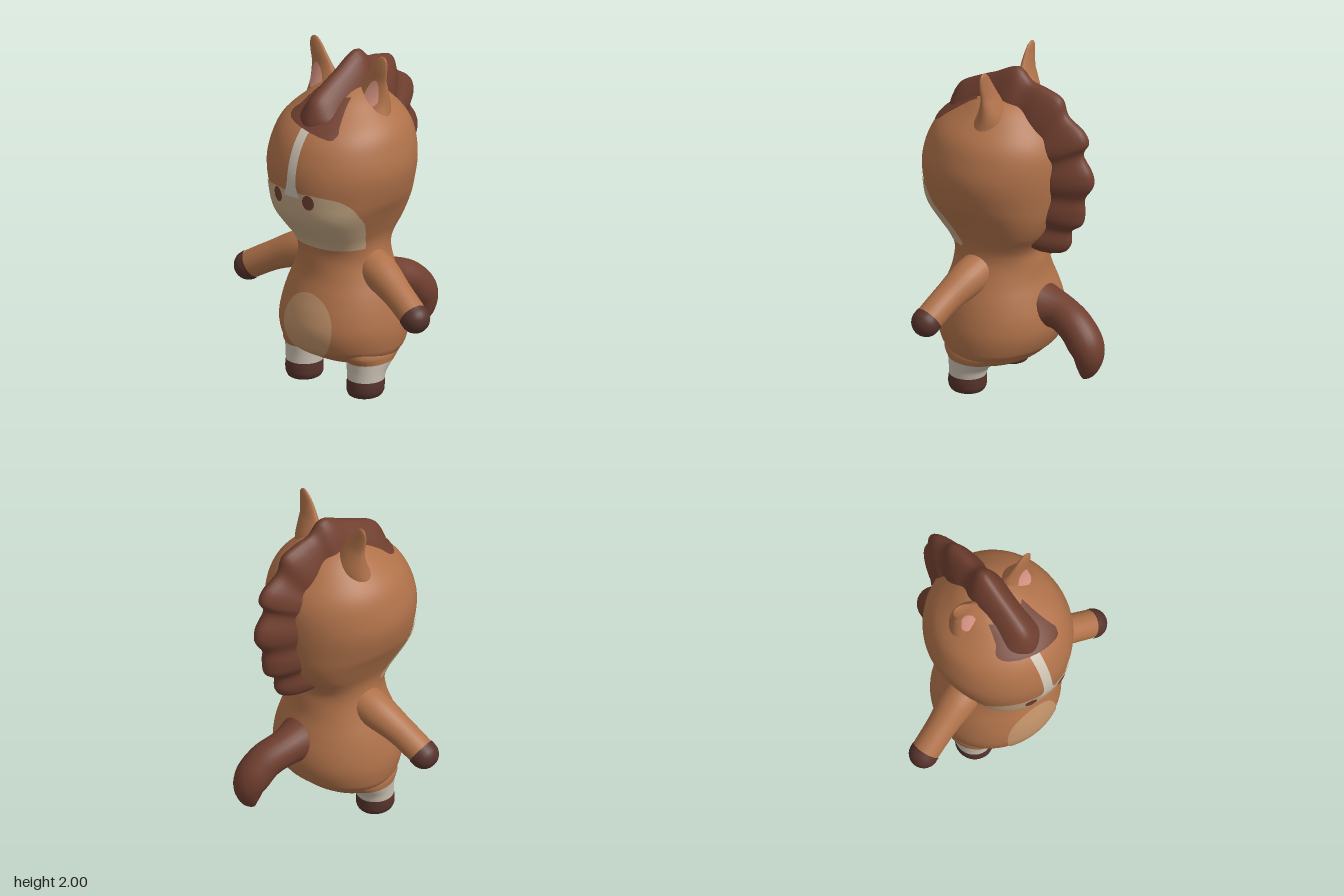
import * as THREE from 'three';

const paint = (name, color) => Object.assign(new THREE.MeshStandardMaterial({ color }), { name });

// Smooth interpolation of a table whose first column is the parameter
function at(rows, t) {
  let i = 0;
  while (i < rows.length - 2 && t > rows[i + 1][0]) i++;
  const a = rows[i], b = rows[i + 1], p = rows[Math.max(i - 1, 0)], q = rows[Math.min(i + 2, rows.length - 1)];
  const d = b[0] - a[0], s = THREE.MathUtils.clamp((t - a[0]) / d, 0, 1), s2 = s * s, s3 = s2 * s;
  return a.map((v, k) => {
    const m0 = (b[k] - p[k]) / (b[0] - p[0]) * d, m1 = (q[k] - a[k]) / (q[0] - a[0]) * d;
    return (2 * s3 - 3 * s2 + 1) * v + (s3 - 2 * s2 + s) * m0 + (3 * s2 - 2 * s3) * b[k] + (s3 - s2) * m1;
  });
}

// Surface grid: fn(u, v) gives a point; wrap closes it around u
function grid(fn, nu, nv, wrap) {
  const pos = [], idx = [], cols = wrap ? nu : nu + 1;
  for (let j = 0; j <= nv; j++) for (let i = 0; i < cols; i++) pos.push(...fn(i / nu, j / nv));
  for (let j = 0; j < nv; j++) for (let i = 0; i < nu; i++) {
    const a = j * cols + i, b = j * cols + (i + 1) % cols;
    idx.push(a, b, b + cols, a, b + cols, a + cols);
  }
  const g = new THREE.BufferGeometry();
  g.setAttribute('position', new THREE.Float32BufferAttribute(pos, 3));
  g.setIndex(idx);
  g.computeVertexNormals();
  return g;
}

// Upright loft; rows are [y, half width, front z, back z, squareness, centre x]
function loft(rows, side = 1, nu = 48, sub = 5) {
  const n = rows.length - 1;
  return grid((u, v) => {
    const f = Math.min(Math.floor(v * n + 1e-6), n - 1), s = v * n - f;
    const y = rows[f][0] + (rows[f + 1][0] - rows[f][0]) * s;
    const [, hx, zf, zb, e, xc] = at(rows, y);
    const a = u * Math.PI * 2, pw = c => Math.sign(c) * Math.abs(c) ** (2 / e);
    return [xc * side + Math.max(hx, 0) * pw(Math.sin(a)), y, (zf + zb) / 2 + (zf - zb) / 2 * pw(Math.cos(a))];
  }, nu, n * sub, true);
}

// Thin marking on the front of a loft; shape(y) gives [centre x, half width]
function marking(rows, shape, y0, y1, lift, side = 1) {
  return grid((u, v) => {
    const y = (y0 + y1) / 2 - (y1 - y0) / 2 * Math.cos(v * Math.PI);
    const [, hx, zf, zb, e, xc] = at(rows, y), [c, hw] = shape(y);
    const x = c + hw * Math.sin((u - 0.5) * Math.PI);
    const k = THREE.MathUtils.clamp((x - xc * side) / hx, -0.98, 0.98);
    const z = (zf - zb) / 2 * (1 - Math.abs(k) ** e) ** (1 / e);
    return [xc * side + k * hx * lift, y, (zf + zb) / 2 + z * lift];
  }, 32, 32, false);
}
const oval = (x, y, w, h) => t => [x, w * Math.sqrt(Math.max(0, 1 - ((t - y) / h) ** 2))];

// Tapered tube along a curve, radius given by a function of t
function limb(points, radius, nv = 30) {
  const c = new THREE.CatmullRomCurve3(points.map(p => new THREE.Vector3(...p)));
  const fr = c.computeFrenetFrames(nv);
  return grid((u, v) => {
    const j = Math.round(v * nv), a = u * Math.PI * 2, r = radius(v);
    return c.getPointAt(v).addScaledVector(fr.normals[j], r * Math.cos(a))
      .addScaledVector(fr.binormals[j], r * Math.sin(a)).toArray();
  }, 24, nv, true);
}

// Torso, neck and head in one smooth form
const BODY = [
  [.165, .001, .15, .14], [.175, .14, .25, .02], [.21, .295, .33, -.09], [.26, .345, .41, -.15],
  [.3, .362, .45, -.19], [.4, .372, .478, -.225], [.5, .358, .465, -.22], [.6, .33, .434, -.19],
  [.7, .29, .4, -.155], [.8, .255, .388, -.14], [.87, .245, .387, -.13, 2.3], [.93, .252, .41, -.15, 2.6],
  [1, .28, .466, -.2, 2.6], [1.1, .327, .54, -.245, 2.4], [1.2, .375, .568, -.27, 2.1], [1.36, .41, .577, -.285],
  [1.5, .387, .54, -.275], [1.6, .342, .472, -.23], [1.7, .24, .34, -.14], [1.76, .16, .25, -.06],
  [1.79, .08, .17, .02], [1.8, .001, .1, .09],
].map(([y, w, f, b, e = 2]) => [y, w, f, b, e, 0]);

const EAR = [
  [1.64, .12, .2, 0, 2, .17], [1.7, .11, .165, 0, 2, .17], [1.74, .1, .145, .01, 2, .175],
  [1.8, .085, .125, .035, 2, .185], [1.85, .07, .115, .055, 2, .197], [1.92, .055, .11, .07, 2, .222],
  [1.97, .038, .102, .077, 2, .239], [1.993, .018, .095, .083, 2, .245], [2, .001, .09, .089, 2, .245],
];

const HOOF = [[0, .001, .21, .209, 2, .22], [.006, .07, .285, .135, 2, .22], [.03, .1, .312, .105, 2, .22],
  [.07, .106, .316, .1, 2, .222], [.11, .104, .312, .1, 2, .222]];
const SOCK = [[.11, .104, .312, .1, 2, .222], [.16, .11, .312, .08, 2, .222], [.215, .122, .318, .015, 2, .222]];
const THIGH = [[.215, .122, .318, .015, 2, .222], [.26, .122, .345, -.04, 2, .222], [.34, .1, .34, -.04, 2, .21]];

// Mane ridge: outer z, outer y, root z, root y, half width
const MANE = [
  [.46, 1.6, .38, 1.62, .1], [.44, 1.68, .34, 1.64, .135], [.39, 1.77, .27, 1.66, .13],
  [.28, 1.835, .2, 1.68, .125], [.165, 1.89, .12, 1.69, .125], [.02, 1.96, .03, 1.68, .125],
  [-.07, 1.895, -.03, 1.67, .105], [-.17, 1.872, -.09, 1.65, .115], [-.27, 1.835, -.14, 1.62, .115],
  [-.31, 1.74, -.18, 1.58, .105], [-.41, 1.67, -.2, 1.54, .12], [-.445, 1.6, -.22, 1.5, .12],
  [-.41, 1.52, -.235, 1.45, .105], [-.47, 1.42, -.24, 1.38, .12], [-.475, 1.34, -.24, 1.32, .12],
  [-.42, 1.25, -.235, 1.25, .105], [-.42, 1.17, -.22, 1.18, .12], [-.405, 1.09, -.2, 1.12, .12],
  [-.335, 1.03, -.17, 1.06, .1], [-.33, .95, -.13, .99, .12], [-.29, .895, -.11, .95, .12],
  [-.2, .87, -.09, .93, .1], [-.11, .86, -.07, .9, .03],
].map((r, i) => [i, ...r]);

export function createModel() {
  const coat = paint('chestnut coat', 0xb0724a), hair = paint('mane brown', 0x703f2f);
  const dark = paint('hoof brown', 0x56332c), white = paint('sock white', 0xcdc3b4);
  const cream = paint('muzzle cream', 0xc2a583), tan = paint('belly tan', 0xbf9068), pink = paint('ear pink', 0xd99484);
  const model = new THREE.Group();
  const add = (name, geo, mat) => {
    const m = new THREE.Mesh(geo, mat);
    m.name = name;
    model.add(m);
  };

  add('headAndBody', loft(BODY, 1, 64), coat);

  // Markings on the front
  add('belly', marking(BODY, oval(0, .43, .17, .195), .235, .625, 1.015), tan);
  const muzzle = [[.89, .235], [.95, .25], [1, .27], [1.1, .305], [1.18, .305], [1.23, .28], [1.26, .235], [1.28, .13]];
  add('muzzle', marking(BODY, y => [0, at(muzzle, y)[1]], .89, 1.28, 1.014), cream);
  const blaze = [[1.25, .055], [1.29, .04], [1.34, .03], [1.68, .03]];
  add('blaze', marking(BODY, y => [0, at(blaze, y)[1]], 1.25, 1.68, 1.02), white);

  // Forelock lying on the brow, with an uneven fringe
  const fringe = [[1.59, .165, .01], [1.615, .1, .085], [1.64, .006, .165], [1.7, 0, .14], [1.76, 0, .115]];
  add('forelock', marking(BODY, y => at(fringe, y).slice(1), 1.59, 1.76, 1.05), hair);

  // Scalloped mane over the crown and down the neck
  add('mane', grid((u, v) => {
    const [, oz, oy, iz, iy, w] = at(MANE, v * (MANE.length - 1));
    const a = u * Math.PI * 2, c = Math.cos(a), h = c > 0 ? c : c * 0.3;
    return [w * Math.sin(a) * (1 - 0.3 * Math.max(0, c)), iy + (oy - iy) * h, iz + (oz - iz) * h];
  }, 28, 110, true), hair);

  // Tail sweeping down and to the left
  const tailR = [[0, .14], [.2, .105], [.45, .102], [.65, .1], [.85, .065], [.95, .03], [1, .003]];
  add('tail', limb([[0, .53, -.13], [0, .515, -.26], [.03, .46, -.39], [.05, .35, -.475], [.055, .25, -.475], [.05, .17, -.445]],
    t => at(tailR, t)[1]), hair);

  // Paired parts
  const armR = [[0, .1], [.3, .103], [.65, .085], [1, .08]];
  for (const s of [1, -1]) {
    const side = s > 0 ? 'left' : 'right';
    add(side + 'Eye', marking(BODY, oval(s * .105, 1.235, .033, .045), 1.19, 1.28, 1.028), hair);
    add(side + 'Ear', loft(EAR, s, 32), coat);
    const inner = [[1.715, .197, .03], [1.74, .197, .044], [1.79, .2, .037], [1.83, .207, .025], [1.855, .212, .008]];
    add(side + 'InnerEar', marking(EAR, y => { const [, c, w] = at(inner, y); return [c * s, w]; }, 1.715, 1.855, 1.08, s), pink);
    add(side + 'Arm', limb([[.15, .78, .13], [.3, .73, .16], [.46, .655, .2], [.59, .58, .23]].map(([x, y, z]) => [x * s, y, z]),
      t => at(armR, t)[1]), coat);
    add(side + 'Hand', limb([[.583 * s, .584, .229], [.672 * s, .525, .25]],
      t => .083 * Math.sqrt(Math.max(1e-5, 1 - (Math.max(0, t - .25) / .75) ** 2))), dark);
    add(side + 'Hoof', loft(HOOF, s, 32), dark);
    add(side + 'Sock', loft(SOCK, s, 32), white);
    add(side + 'Thigh', loft(THIGH, s, 32), coat);
  }
  return model;
}
